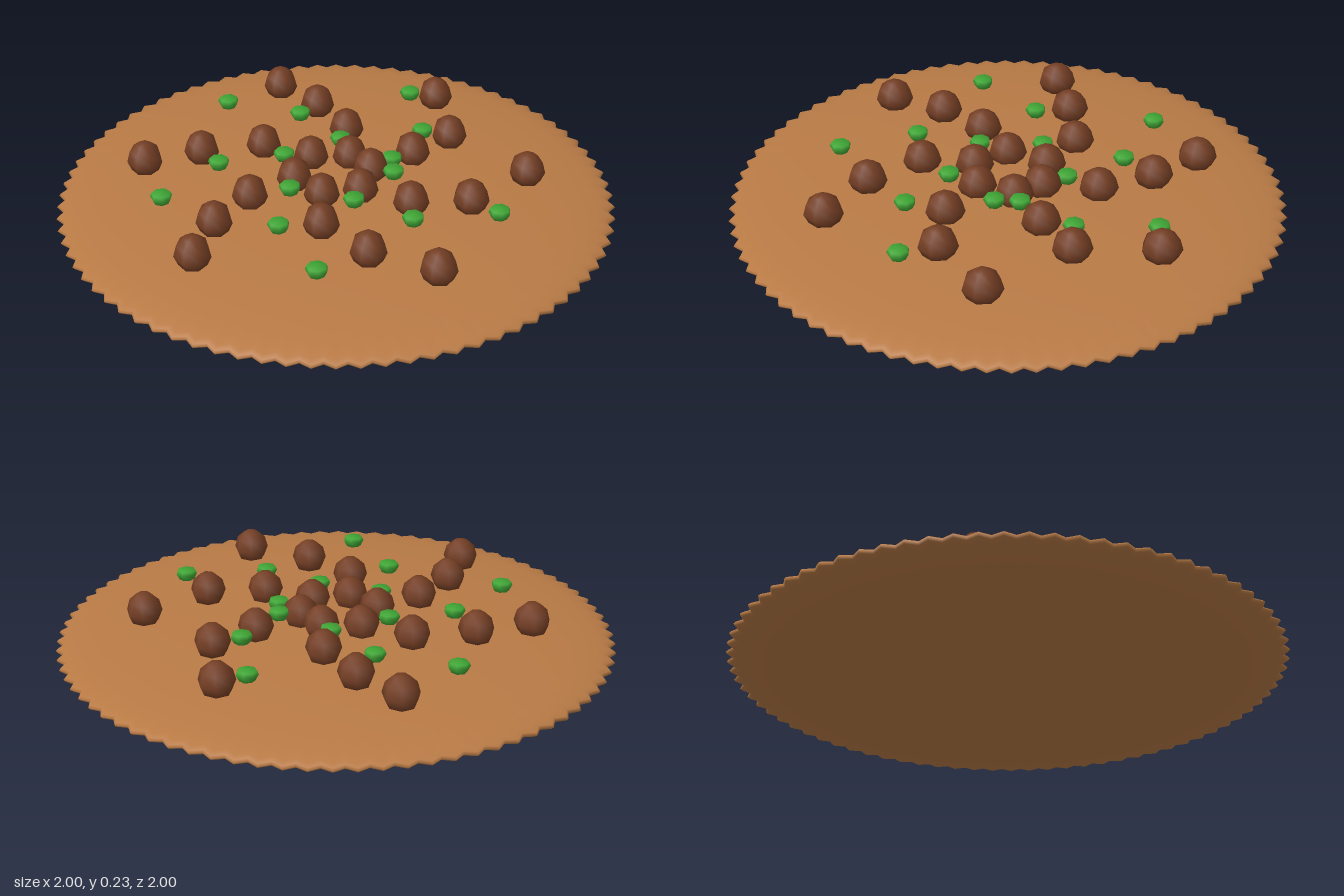
import * as THREE from 'three';
import { mergeVertices } from 'three/addons/utils/BufferGeometryUtils.js';

// Weld seams so that the surface shades smoothly
function smooth(geometry) {
  geometry.deleteAttribute('uv');
  geometry.deleteAttribute('normal');
  const welded = mergeVertices(geometry, 1e-5);
  welded.computeVertexNormals();
  return welded;
}

// Thin lens with a toothed rim
function baseGeometry(teeth = 80) {
  const geo = new THREE.SphereGeometry(1, teeth * 2, 28);
  const p = geo.attributes.position;
  for (let i = 0; i < p.count; i++) {
    const x = p.getX(i), z = p.getZ(i);
    const r = Math.hypot(x, z);
    const wave = Math.cos(Math.atan2(z, x) * teeth);
    const rim = THREE.MathUtils.smoothstep(r, 0.85, 1);
    const k = 1 - 0.012 * rim * (1 - wave);
    p.setXYZ(i, x * k, 0.07 + p.getY(i) * 0.068, z * k);
  }
  return smooth(geo);
}

// Few-sided turned chunk
function chunkGeometry(profile, sides) {
  const points = profile.map(([r, y]) => new THREE.Vector2(r, y));
  return smooth(new THREE.LatheGeometry(points, sides));
}

export function createModel() {
  const model = new THREE.Group();
  const crust = new THREE.MeshStandardMaterial({ color: 0xb87a45 });
  crust.name = 'bakedCrust';
  const meat = new THREE.MeshStandardMaterial({ color: 0x753f25 });
  meat.name = 'brownMeat';
  const herb = new THREE.MeshStandardMaterial({ color: 0x3fa535 });
  herb.name = 'greenHerb';

  const base = new THREE.Mesh(baseGeometry(), crust);
  base.name = 'flatbread';
  model.add(base);

  function scatter(name, geometry, material, spots) {
    const group = new THREE.Group();
    group.name = name + 's';
    for (const [x, z] of spots) {
      const mesh = new THREE.Mesh(geometry, material);
      mesh.name = name;
      mesh.position.set(x, 0, z);
      group.add(mesh);
    }
    model.add(group);
  }

  // Meat chunks: domed, flat underneath, slightly lopsided
  const chunk = chunkGeometry([[0, 0.13], [0.052, 0.13], [0.067, 0.165],
    [0.056, 0.205], [0.028, 0.23], [0, 0.235]], 7);
  chunk.rotateY(0.3);
  chunk.scale(0.97, 1, 1.07);
  scatter('meatChunk', chunk, meat, [
    [-0.11, -0.69], [0.01, -0.52], [0.47, -0.51], [0.09, -0.32],
    [-0.67, -0.2], [-0.46, -0.24], [-0.23, -0.25], [0.46, -0.21],
    [-0.07, -0.14], [0.07, -0.12], [0.3, -0.11], [-0.15, 0],
    [0.13, -0.02], [-0.32, 0.09], [-0.07, 0.12], [0.07, 0.11],
    [0.68, 0.09], [0.23, 0.22], [0.44, 0.24], [-0.46, 0.24],
    [-0.1, 0.31], [-0.55, 0.43], [0.03, 0.5], [0.24, 0.64],
  ]);

  // Herb pieces: small flattened rounds
  const piece = chunkGeometry([[0, 0.163], [0.028, 0.163], [0.039, 0.185],
    [0.034, 0.198], [0, 0.2]], 7);
  scatter('herbPiece', piece, herb, [
    [-0.33, -0.55], [0.37, -0.51], [-0.07, -0.42], [0.05, -0.21],
    [0.36, -0.22], [-0.17, -0.13], [-0.41, -0.11], [0.21, -0.04],
    [0.2, 0.05], [-0.63, 0.09], [-0.18, 0.1], [0.03, 0.21],
    [-0.25, 0.33], [0.21, 0.36], [0.51, 0.37], [-0.16, 0.61],
  ]);
  return model;
}
